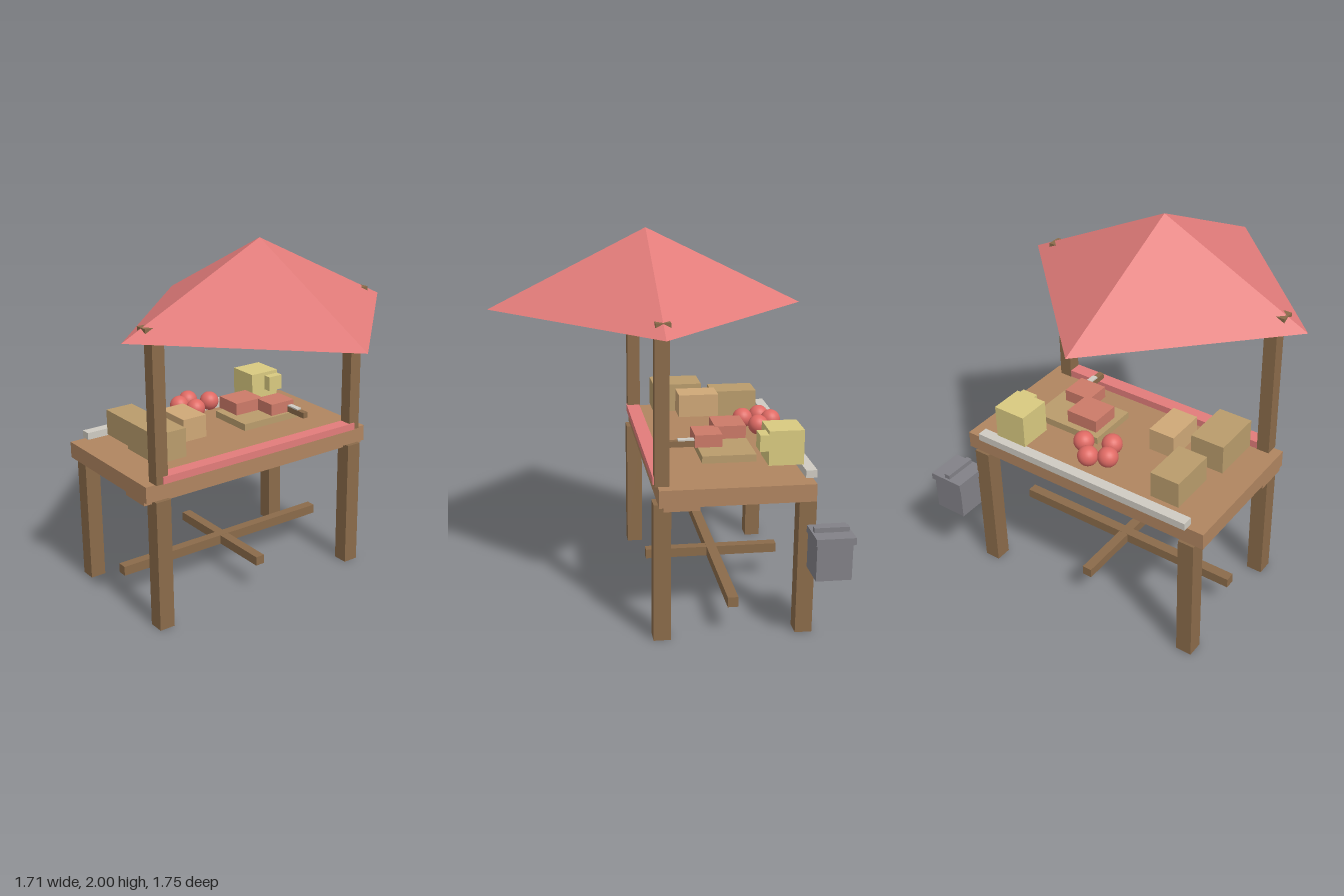
import * as THREE from 'three';

const mat = (color) => new THREE.MeshStandardMaterial({ color, flatShading: true });
const wood = mat(0x8b6b4a), board = mat(0xb08560), red = mat(0xe27c7a), crate = mat(0xb99c6c);
const paleCrate = mat(0xcfa877), yellow = mat(0xd9ca80), metal = mat(0x828187), steel = mat(0xcfcbc2);
const meat = mat(0xcc7a68);
const fruit = new THREE.MeshStandardMaterial({ color: 0xdf6a64 });

export function createModel() {
  const model = new THREE.Group();

  // Box given by its low and high limits on each axis
  const box = (name, material, [x0, x1], [y0, y1], [z0, z1], parent = model) => {
    const mesh = new THREE.Mesh(new THREE.BoxGeometry(x1 - x0, y1 - y0, z1 - z0), material);
    mesh.position.set((x0 + x1) / 2, (y0 + y1) / 2, (z0 + z1) / 2);
    mesh.name = name;
    parent.add(mesh);
    return mesh;
  };

  // Table
  box('tableTop', board, [-0.762, 0.706], [0.737, 0.828], [-0.713, 0.072]);
  box('underPlank', board, [-0.762, 0.706], [0.717, 0.737], [-0.13, 0.05]);
  for (const x of [-0.673, 0.615]) {
    for (const z of [0.05, -0.683]) {
      box('leg', wood, [x - 0.044, x + 0.044], [0, 0.737], [z - 0.044, z + 0.044]);
    }
    box('roofPost', wood, [x - 0.035, x + 0.035], [0.828, 1.567], [0.015, 0.087]);
  }
  box('longStretcher', wood, [-0.7, 0.645], [0.157, 0.211], [-0.343, -0.288]);
  box('crossStretcher', wood, [-0.056, -0.002], [0.158, 0.21], [-0.685, 0.055]);

  // Trim along the front and back edges
  box('frontTrim', red, [-0.67, 0.615], [0.828, 0.868], [0.018, 0.093]);
  box('backTrim', steel, [-0.67, 0.615], [0.828, 0.868], [-0.735, -0.678]);

  // Roof: a four-sided pyramid resting on a beam
  box('roofBeam', wood, [-0.743, 0.682], [1.575, 1.65], [0.013, 0.088]);
  const roof = new THREE.Mesh(new THREE.ConeGeometry(0.825, 0.41, 4), red);
  roof.position.set(-0.03, 1.795, 0.05);
  roof.name = 'roof';
  model.add(roof);

  // Bin hanging at the back corner
  const bin = new THREE.Group();
  bin.name = 'bin';
  model.add(bin);
  box('binBody', metal, [0.664, 0.844], [0.37, 0.558], [-0.867, -0.686], bin);
  box('binLid', metal, [0.654, 0.853], [0.558, 0.595], [-0.88, -0.68], bin);
  box('binHandle', metal, [0.735, 0.768], [0.595, 0.62], [-0.868, -0.69], bin);

  // Crates on the table
  box('largeCrate', crate, [-0.627, -0.44], [0.88, 1.04], [-0.318, -0.042]);
  box('rearCrate', crate, [-0.571, -0.407], [0.853, 0.998], [-0.635, -0.378]);
  box('smallCrate', paleCrate, [-0.376, -0.231], [0.907, 1.033], [-0.382, -0.16]);
  box('yellowBox', yellow, [0.34, 0.524], [0.868, 1.05], [-0.688, -0.507]);
  box('yellowBoxPocket', yellow, [0.432, 0.524], [0.944, 1.03], [-0.507, -0.46]);

  // Cutting board, meat and knife
  box('cuttingBoard', crate, [0.043, 0.451], [0.868, 0.907], [-0.46, -0.18]);
  box('meat', meat, [0.06, 0.243], [0.927, 0.996], [-0.445, -0.28]);
  box('meat', meat, [0.212, 0.37], [0.927, 0.993], [-0.297, -0.155]);
  box('knifeHandle', wood, [0.325, 0.356], [0.928, 0.96], [-0.2, -0.013]);
  box('knifeBlade', steel, [0.325, 0.356], [0.96, 0.968], [-0.2, -0.07]);

  // Fruit
  for (const [x, z] of [[-0.12, -0.59], [-0.075, -0.49], [-0.03, -0.637], [0.06, -0.55]]) {
    const ball = new THREE.Mesh(new THREE.SphereGeometry(0.054, 24, 16), fruit);
    ball.position.set(x, 0.94, z);
    ball.name = 'fruit';
    model.add(ball);
  }
  return model;
}
